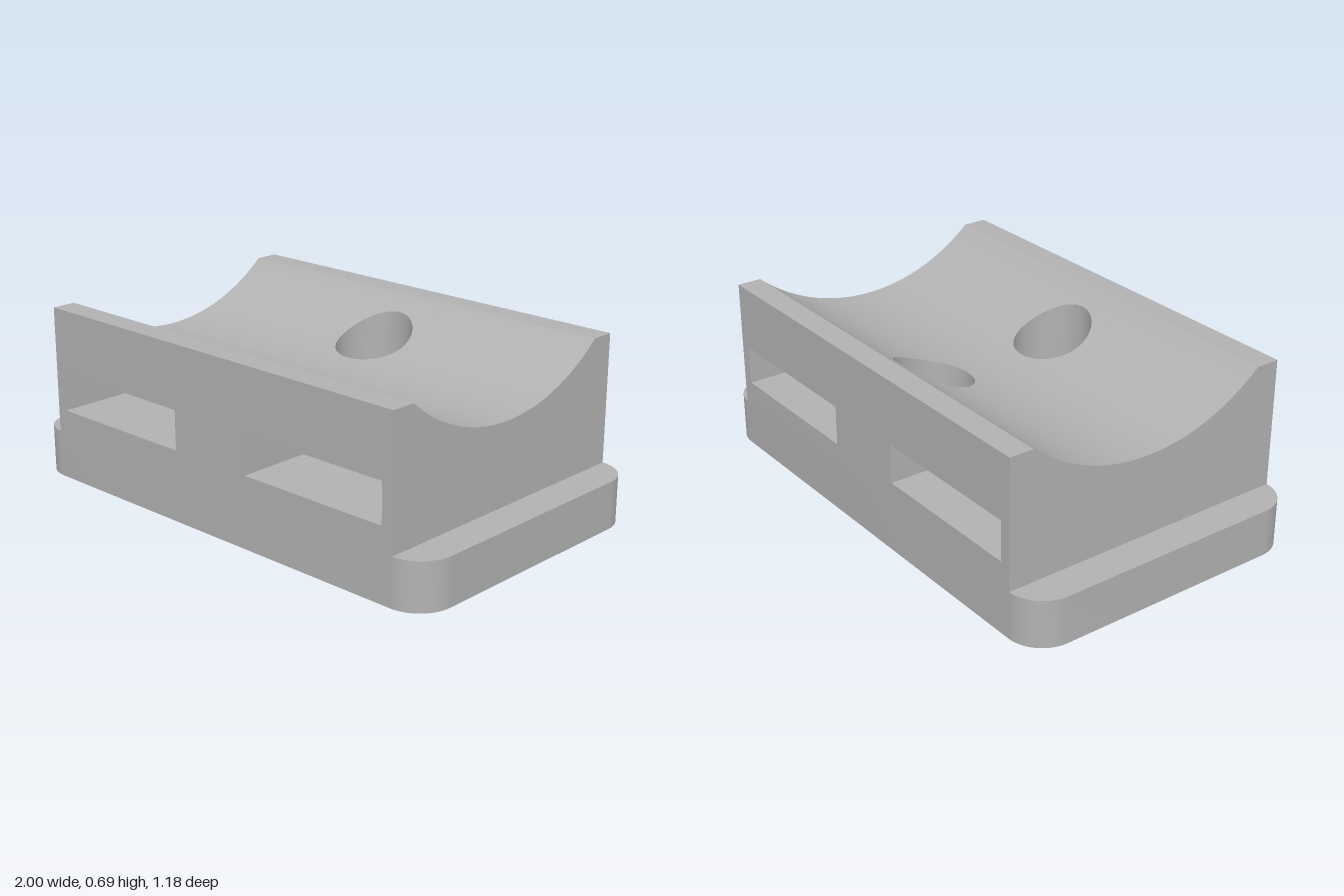
import * as THREE from 'three';
import { toCreasedNormals } from 'three/addons/utils/BufferGeometryUtils.js';

const BASE_TOP = 0.185, TOP = 0.685, HALF_Z = 0.59, HALF_X = 0.865;
const SLOT = { x0: 0.18, x1: 0.82, y0: 0.28, y1: 0.435 };
const HOLE = { z: 0.275, bore: 0.08, counterbore: 0.148 };
const ARC = { half: 0.495, radius: 0.755, centreY: 1.255 };

// Height of the saddle surface at a given z
const saddleY = (z) => Math.abs(z) >= ARC.half
  ? TOP : Math.min(TOP, ARC.centreY - Math.sqrt(ARC.radius ** 2 - z * z));

export function createModel() {
  const group = new THREE.Group();
  const grey = new THREE.MeshStandardMaterial({ color: 0xb2b2b2 });
  grey.name = 'plain grey';

  const add = (name, geometry) => {
    const mesh = new THREE.Mesh(toCreasedNormals(geometry, 0.4), grey);
    mesh.name = name;
    group.add(mesh);
  };

  // Saddle cross-section between z0 and z1, extruded from x0 to x1
  const saddleSlice = (name, x0, x1, z0, z1, bottom) => {
    const zs = [z0];
    for (let i = -32; i <= 32; i++) {
      const z = (ARC.half * i) / 32;
      if (z > z0 + 1e-4 && z < z1 - 1e-4) zs.push(z);
    }
    zs.push(z1);
    const points = zs.map((z) => new THREE.Vector2(-z, saddleY(z)));
    points.push(new THREE.Vector2(-z1, bottom), new THREE.Vector2(-z0, bottom));
    const geometry = new THREE.ExtrudeGeometry(new THREE.Shape(points), { depth: x1 - x0, bevelEnabled: false });
    add(name, geometry.rotateY(Math.PI / 2).translate(x0, 0, 0));
  };

  // Square column around a counterbore: outer skirt, saddle top, bore wall
  const boredColumn = (name, cz) => {
    const n = 64, rings = 8, half = SLOT.x0;
    const rows = [[0, false], ...Array.from({ length: rings + 1 }, (_, i) => [i / rings, true]), [1, false]];
    const positions = [], index = [];
    rows.forEach(([t, onSaddle], r) => {
      for (let i = 0; i <= n; i++) {
        const a = (i / n) * Math.PI * 2, c = Math.cos(a), s = Math.sin(a);
        const square = half / Math.max(Math.abs(c), Math.abs(s));
        const radius = THREE.MathUtils.lerp(square, HOLE.counterbore, t);
        const z = cz - s * radius;
        positions.push(c * radius, onSaddle ? saddleY(z) : BASE_TOP, z);
        if (r < rows.length - 1 && i < n) {
          const p = r * (n + 1) + i, q = p + n + 1;
          index.push(p, p + 1, q + 1, p, q + 1, q);
        }
      }
    });
    const geometry = new THREE.BufferGeometry();
    geometry.setAttribute('position', new THREE.Float32BufferAttribute(positions, 3));
    geometry.setIndex(index);
    add(name, geometry);
  };

  // Rounded base plate with two screw holes; its top is the counterbore floor
  const w = 1, d = HALF_Z, r = 0.14;
  const plate = new THREE.Shape();
  plate.absarc(w - r, d - r, r, 0, Math.PI / 2);
  plate.absarc(r - w, d - r, r, Math.PI / 2, Math.PI);
  plate.absarc(r - w, r - d, r, Math.PI, Math.PI * 1.5);
  plate.absarc(w - r, r - d, r, Math.PI * 1.5, Math.PI * 2);
  plate.closePath();
  for (const z of [-HOLE.z, HOLE.z]) {
    plate.holes.push(new THREE.Path().absarc(0, z, HOLE.bore, 0, Math.PI * 2, true));
  }
  add('basePlate', new THREE.ExtrudeGeometry(plate, { depth: BASE_TOP, bevelEnabled: false, curveSegments: 24 })
    .rotateX(-Math.PI / 2));

  // Both ends: outer wall, strap slot floor and the saddle above the slot
  for (const [side, sign] of [['left', 1], ['right', -1]]) {
    const span = (a, b) => (sign > 0 ? [a, b] : [-b, -a]);
    saddleSlice(side + 'EndWall', ...span(SLOT.x1, HALF_X), -HALF_Z, HALF_Z, BASE_TOP);
    saddleSlice(side + 'SaddleBridge', ...span(SLOT.x0, SLOT.x1), -HALF_Z, HALF_Z, SLOT.y1);
    const floor = new THREE.BoxGeometry(SLOT.x1 - SLOT.x0, SLOT.y0 - BASE_TOP, HALF_Z * 2);
    floor.translate(sign * (SLOT.x0 + SLOT.x1) / 2, (SLOT.y0 + BASE_TOP) / 2, 0);
    add(side + 'SlotFloor', floor);
  }

  // Centre pier: solid strips with a bored column between each pair
  const inner = HOLE.z - SLOT.x0, outer = HOLE.z + SLOT.x0;
  saddleSlice('backCentrePier', -SLOT.x0, SLOT.x0, -HALF_Z, -outer, BASE_TOP);
  saddleSlice('middleCentrePier', -SLOT.x0, SLOT.x0, -inner, inner, BASE_TOP);
  saddleSlice('frontCentrePier', -SLOT.x0, SLOT.x0, outer, HALF_Z, BASE_TOP);
  boredColumn('frontCounterbore', HOLE.z);
  boredColumn('backCounterbore', -HOLE.z);

  return group;
}
